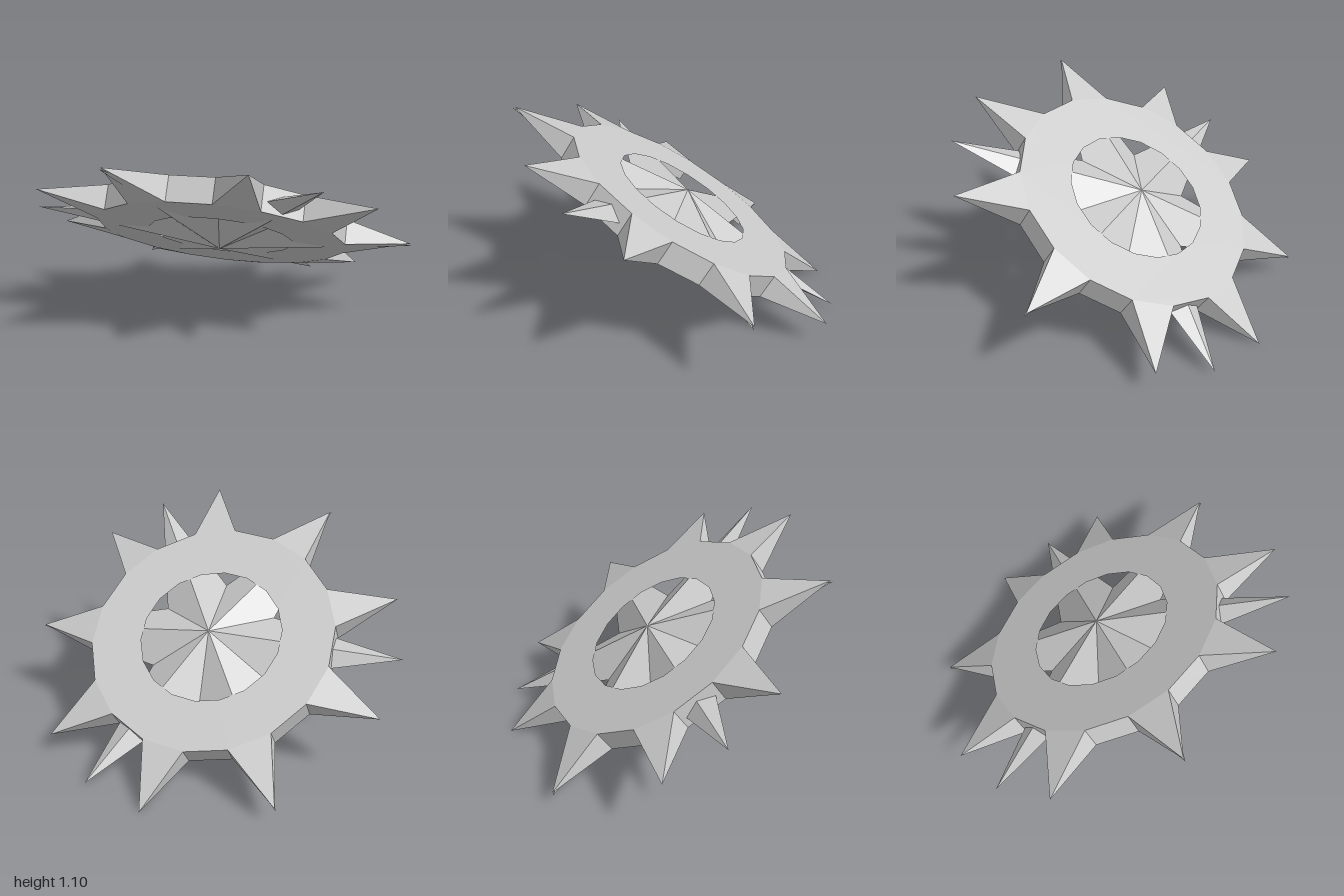
import * as THREE from 'three';

const RING_R = 0.69, HOLE_R = 0.4, HALF_T = 0.069, TIP_R = 1.04;
const ARM_R = 1.05, VALLEY_R = 0.365, APEX = 0.13;

const material = new THREE.MeshStandardMaterial({ color: 0xcccccc, flatShading: true });

function part(geometry, name) {
  const mesh = new THREE.Mesh(geometry, material);
  mesh.name = name;
  return mesh;
}

// Corners of an 18-sided polygon, with one edge centred on the z axis
function polygon(radius) {
  return Array.from({ length: 18 }, (_, i) => {
    const a = THREE.MathUtils.degToRad(20 * i + 10);
    return new THREE.Vector2(Math.sin(a) * radius, Math.cos(a) * radius);
  });
}

// Flat ring with a polygonal hole
function ringGeometry() {
  const shape = new THREE.Shape(polygon(RING_R));
  shape.holes.push(new THREE.Path(polygon(HOLE_R)));
  return new THREE.ExtrudeGeometry(shape, { depth: 2 * HALF_T, bevelEnabled: false })
    .translate(0, 0, -HALF_T).rotateX(-Math.PI / 2);
}

// Box whose outer end is drawn together into a point
function spikeGeometry() {
  const inner = RING_R * Math.cos(Math.PI / 18);
  const width = 2 * RING_R * Math.sin(Math.PI / 18);
  const length = TIP_R - inner;
  const geometry = new THREE.BoxGeometry(width, 2 * HALF_T, length).translate(0, 0, inner + length / 2);
  const pos = geometry.attributes.position;
  for (let i = 0; i < pos.count; i++) {
    if (pos.getZ(i) > inner + 0.01) pos.setXYZ(i, 0, 0, TIP_R);
  }
  const flat = geometry.toNonIndexed();
  flat.computeVertexNormals();
  return flat;
}

// Six-armed star, ridged on both sides and rising to a central apex
function starGeometry() {
  const points = [];
  const at = (deg, r) => {
    const a = THREE.MathUtils.degToRad(deg);
    return [Math.sin(a) * r, 0, Math.cos(a) * r];
  };
  for (let k = 0; k < 6; k++) {
    const tip = at(60 * k, ARM_R);
    const before = at(60 * k - 30, VALLEY_R), after = at(60 * k + 30, VALLEY_R);
    for (const [a, b] of [[before, tip], [tip, after]]) {
      points.push(0, APEX, 0, ...a, ...b);
      points.push(0, -APEX, 0, ...b, ...a);
    }
  }
  const geometry = new THREE.BufferGeometry();
  geometry.setAttribute('position', new THREE.Float32BufferAttribute(points, 3));
  geometry.computeVertexNormals();
  return geometry;
}

export function createModel() {
  const model = new THREE.Group();
  model.name = 'spikedDisc';

  // Everything is built lying flat, then tilted as one piece
  const disc = new THREE.Group();
  disc.name = 'tiltedDisc';
  model.add(disc);

  // Ring with nine spikes
  const ring = new THREE.Group();
  ring.name = 'spikedRing';
  ring.position.y = 0.012;
  ring.add(part(ringGeometry(), 'ring'));
  const spike = spikeGeometry();
  for (let k = 0; k < 9; k++) {
    const mesh = part(spike, 'ringSpike');
    mesh.rotation.y = THREE.MathUtils.degToRad(40 * k);
    ring.add(mesh);
  }
  disc.add(ring);

  // Central star, its arms running through the ring
  disc.add(part(starGeometry(), 'centralStar'));

  // Tilt
  const up = new THREE.Vector3(-0.185, 0.84, -0.51).normalize();
  const side = up.clone().cross(new THREE.Vector3(-0.105, 0.53, 0.895)).normalize();
  const forward = side.clone().cross(up);
  disc.quaternion.setFromRotationMatrix(new THREE.Matrix4().makeBasis(side, up, forward));
  disc.position.set(0.012, 0.56, -0.003);
  return model;
}
